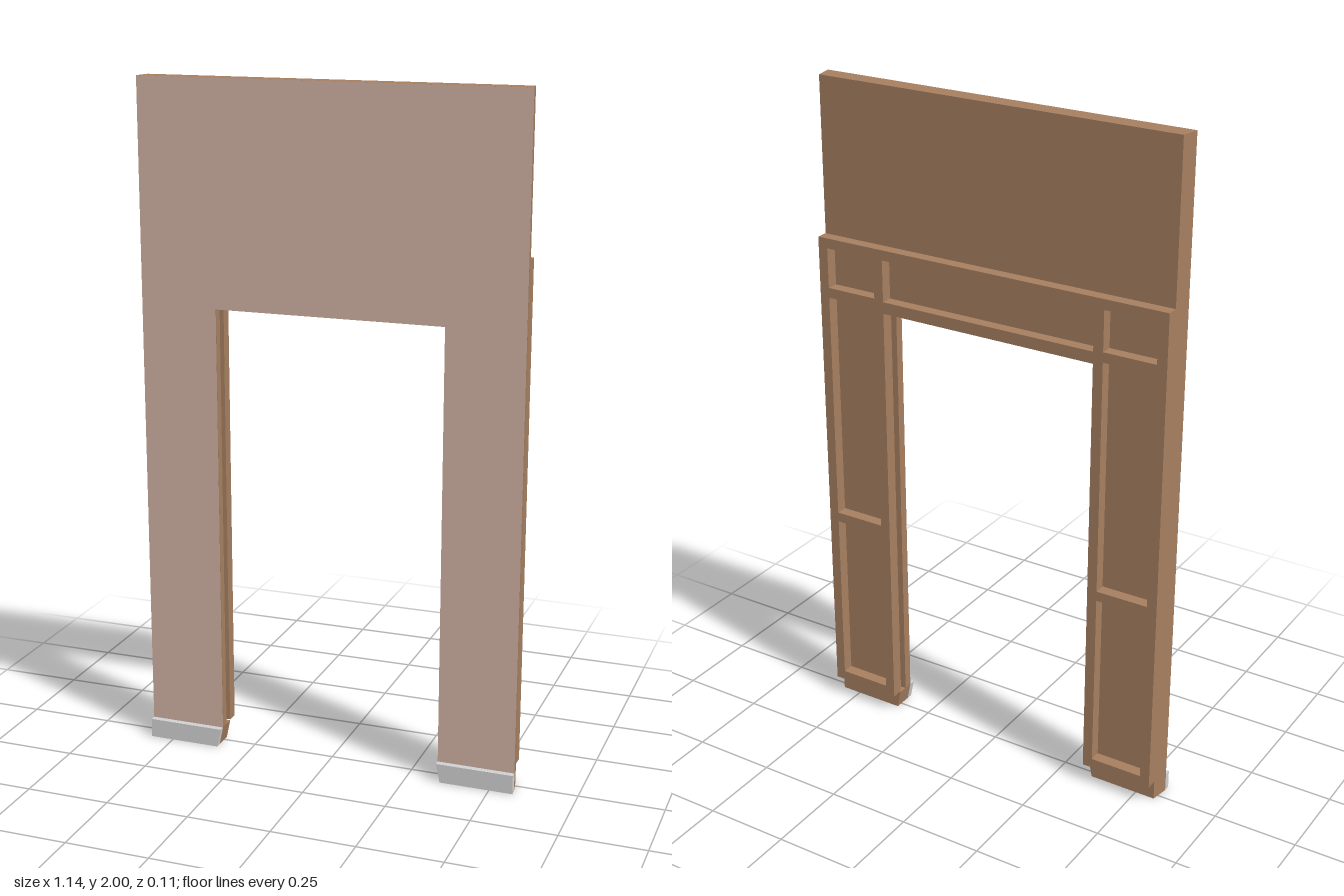
import * as THREE from 'three';

const OUTER = 0.57, INNER = 0.34, HEAD = 1.35, FOOT = 0.057;
const FRONT = 0.035, BACK = -0.02, FRAME_BACK = -0.055;

const mat = (name, color) => {
  const m = new THREE.MeshStandardMaterial({ color });
  m.name = name;
  return m;
};

// Closed symmetric outline from the points of its +x half, listed from inner head to top centre side
function symmetric(half) {
  const mirrored = half.map(([x, y]) => [-x, y]).reverse();
  return new THREE.Shape([...half, ...mirrored].map(([x, y]) => new THREE.Vector2(x, y)));
}

function rectHole(x0, y0, x1, y1) {
  return new THREE.Path([[x0, y0], [x0, y1], [x1, y1], [x1, y0]].map(p => new THREE.Vector2(...p)));
}

function slab(shape, z0, z1) {
  return new THREE.ExtrudeGeometry(shape, { depth: z1 - z0, bevelEnabled: false }).translate(0, 0, z0);
}

// Outer sides lean in towards the back
function taper(geo) {
  const p = geo.attributes.position;
  for (let i = 0; i < p.count; i++) {
    const x = p.getX(i);
    if (Math.abs(x) > 0.5) {
      const t = (FRONT - p.getZ(i)) / (FRONT - BACK);
      p.setX(i, Math.sign(x) * (OUTER - 0.01 * t));
    }
  }
  geo.computeVertexNormals();
  return geo;
}

export function createModel() {
  const group = new THREE.Group();
  const wood = mat('brown wood', 0xa67f60);
  const plaster = mat('pink plaster', 0xd0b0a1);
  const grey = mat('light grey skirting', 0xd0d0d0);
  const add = (name, geo, material) => {
    const mesh = new THREE.Mesh(geo, material);
    mesh.name = name;
    group.add(mesh);
  };

  // Front layer of the wall, with slightly chamfered feet
  const wall = symmetric([[INNER, HEAD], [INNER, FOOT], [0.352, 0], [OUTER, 0], [OUTER, 2]]);
  add('wallFrontLayer', taper(slab(wall, 0.008, FRONT)), wood);

  // Core layer, set back around the opening to leave a groove in the jamb
  const core = symmetric([[0.358, HEAD + 0.018], [0.358, FOOT], [INNER, FOOT], [0.352, 0], [OUTER, 0], [OUTER, 2]]);
  add('wallCore', taper(slab(core, BACK, 0.008)), wood);

  // Painted front face
  const face = symmetric([[INNER, HEAD], [INNER, FOOT], [OUTER, FOOT], [OUTER, 2]]);
  add('frontFace', new THREE.ShapeGeometry(face).translate(0, 0, FRONT + 0.001), plaster);

  // Panelled frame on the back
  const frame = symmetric([[INNER, HEAD], [INNER, 0.06], [0.56, 0.06], [0.56, 1.54]]);
  const rows = [[0.09, 0.63], [0.66, 1.36], [1.39, 1.51]];
  for (const [y0, y1] of rows) {
    frame.holes.push(rectHole(0.37, y0, 0.53, y1), rectHole(-0.53, y0, -0.37, y1));
  }
  frame.holes.push(rectHole(-INNER, 1.385, INNER, 1.51));
  add('panelFrame', slab(frame, FRAME_BACK, BACK), wood);

  // Skirting blocks on the front of each foot
  for (const s of [1, -1]) {
    const block = new THREE.Shape([[INNER, FOOT], [0.352, 0], [OUTER, 0], [OUTER, FOOT]]
      .map(([x, y]) => new THREE.Vector2(s * x, y)));
    add(s > 0 ? 'leftSkirting' : 'rightSkirting', slab(block, FRONT, 0.054), grey);
  }
  return group;
}
